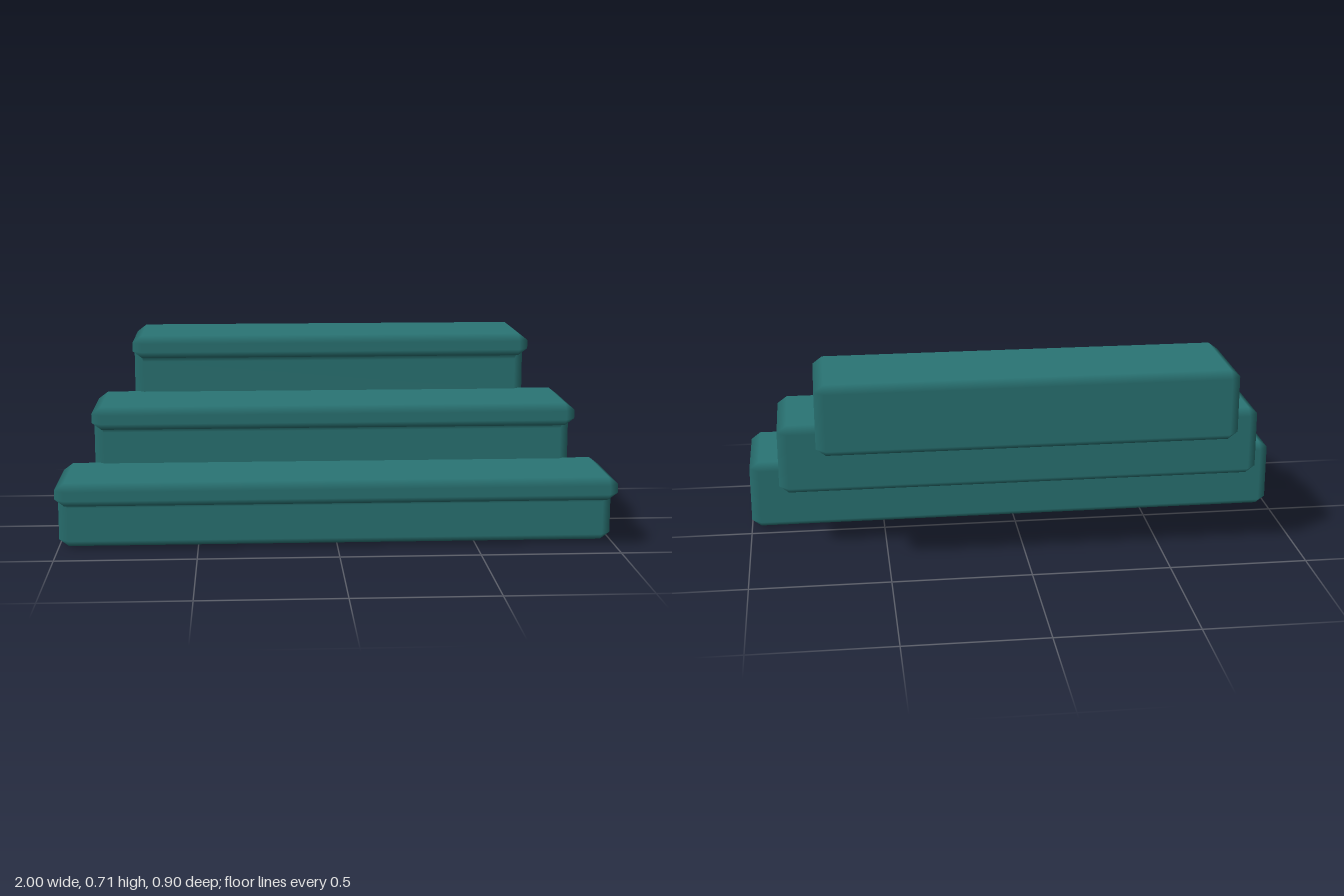
import * as THREE from 'three';

const BEVEL_X = 0.035, BEVEL = [0.035, 0.026]; // bevel along x, then depth and height

// Sharp outline of a step: u runs to the back, y up, counter-clockwise
const OUTLINE = [
  [-0.09, 0], [0.205, 0], [0.205, 0.258], [-0.205, 0.258], [-0.205, 0.174], [-0.09, 0.174],
];

// Step with a bevelled nosing, lofted through four rings with flat-face normals
function stepGeometry(halfWidth) {
  const n = OUTLINE.length, mid = [], end = [], midNormals = [];
  const edgeNormal = i => {
    const a = OUTLINE[i % n], b = OUTLINE[(i + 1) % n];
    return [Math.sign(b[1] - a[1]), -Math.sign(b[0] - a[0])];
  };
  const shift = (p, d, s) => [p[0] + d[0] * BEVEL[0] * s, p[1] + d[1] * BEVEL[1] * s];

  OUTLINE.forEach((q, i) => {
    const n1 = edgeNormal(i + n - 1), n2 = edgeNormal(i);
    const convex = n1[0] * n2[1] - n1[1] * n2[0] > 0 ? 1 : -1;
    const inset = shift(shift(q, n1, -1), n2, -1);
    mid.push(shift(q, n2, -convex), shift(q, n1, -convex));
    midNormals.push(n1, n2);
    end.push(inset, inset);
  });

  const positions = [], normals = [], index = [], count = 2 * n;
  const rings = [
    [-halfWidth, end], [-halfWidth + BEVEL_X, mid], [halfWidth - BEVEL_X, mid], [halfWidth, end],
  ];
  rings.forEach(([x, ring], r) => ring.forEach(([u, y], k) => {
    positions.push(x, y, -u);
    if (ring === end) normals.push(r ? 1 : -1, 0, 0);
    else normals.push(0, midNormals[k][1], -midNormals[k][0]);
  }));

  // Skin between the rings; bevelled corners meet the ends in one triangle
  for (let r = 0; r < 3; r++) for (let k = 0; k < count; k++) {
    const p = r * count + k, q = r * count + (k + 1) % count;
    const corner = k % 2 === 0;
    if (!(corner && r === 0)) index.push(p, q, q + count);
    if (!(corner && r === 2)) index.push(p, q + count, p + count);
  }

  // End caps
  const inner = end.filter((_, k) => k % 2 === 0).map(p => new THREE.Vector2(...p));
  for (const [a, b, c] of THREE.ShapeUtils.triangulateShape(inner, [])) {
    const top = 3 * count;
    index.push(top + 2 * a, top + 2 * b, top + 2 * c, 2 * a, 2 * c, 2 * b);
  }

  const geometry = new THREE.BufferGeometry();
  geometry.setAttribute('position', new THREE.Float32BufferAttribute(positions, 3));
  geometry.setAttribute('normal', new THREE.Float32BufferAttribute(normals, 3));
  geometry.setIndex(index);
  return geometry;
}

export function createModel() {
  const group = new THREE.Group();
  group.name = 'steps';
  const material = new THREE.MeshStandardMaterial({ color: 0x2a7575 });

  // Three steps, each narrower, higher and further back
  const steps = [['lowerStep', 1], ['middleStep', 0.885], ['upperStep', 0.747]];
  steps.forEach(([name, halfWidth], i) => {
    const step = new THREE.Mesh(stepGeometry(halfWidth), material);
    step.name = name;
    step.position.set(0, 0.226 * i, 0.245 * (1 - i));
    group.add(step);
  });
  return group;
}
